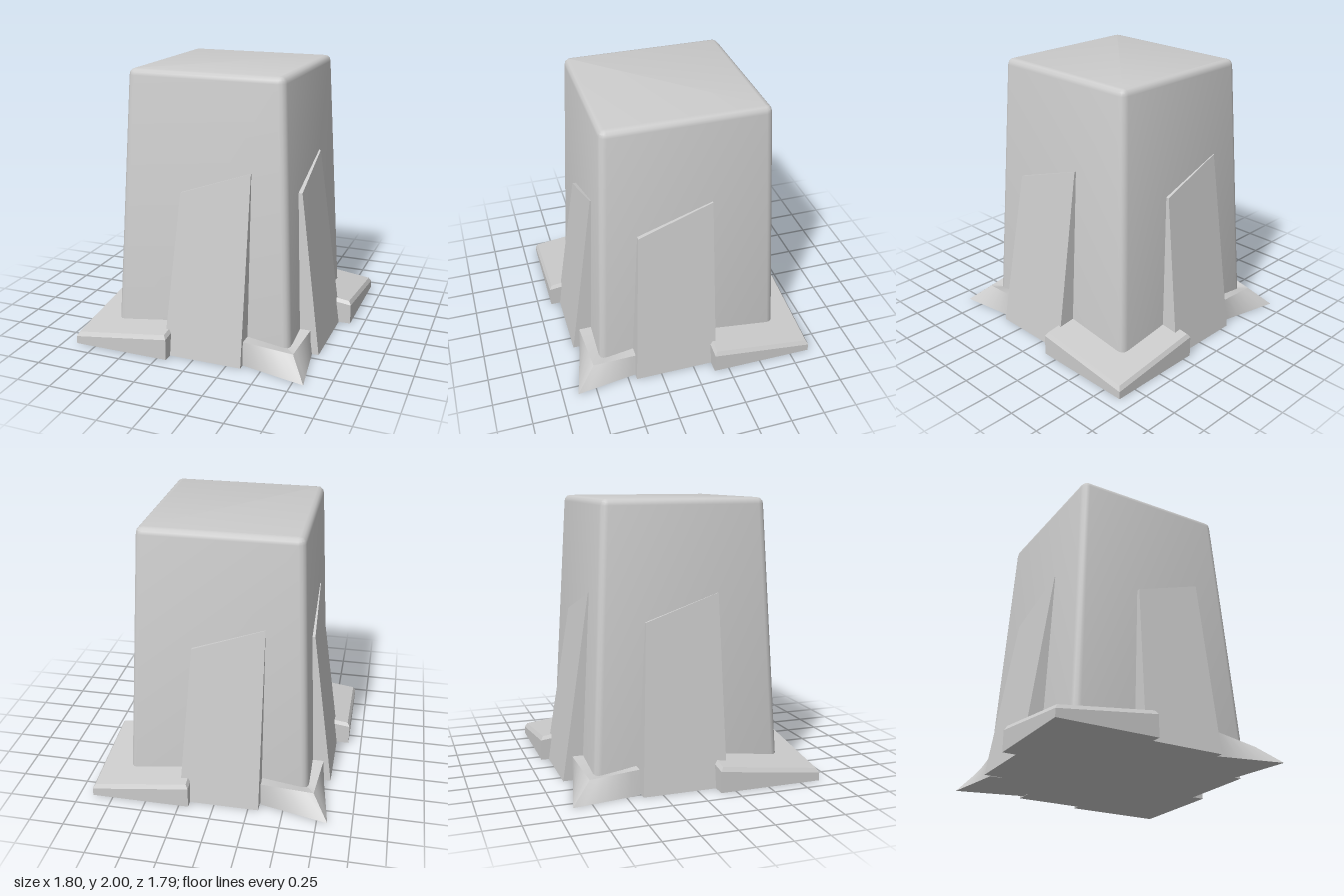
import * as THREE from 'three';
import { toCreasedNormals } from 'three/addons/utils/BufferGeometryUtils.js';

const material = new THREE.MeshStandardMaterial({ color: 0xcccccc });

// Skin a list of equal-length loops, capped at both ends.
// Loops run counter-clockwise as seen from the last one.
function loft(name, loops, crease = 0.6) {
  const pos = [];
  const tri = (a, b, c) => pos.push(...a, ...b, ...c);
  const n = loops[0].length;
  for (let k = 0; k < loops.length - 1; k++) {
    const a = loops[k], b = loops[k + 1];
    for (let i = 0; i < n; i++) {
      const j = (i + 1) % n;
      tri(a[i], a[j], b[j]);
      tri(a[i], b[j], b[i]);
    }
  }
  const first = loops[0], last = loops[loops.length - 1];
  for (let i = 1; i < n - 1; i++) {
    tri(first[0], first[i + 1], first[i]);
    tri(last[0], last[i], last[i + 1]);
  }
  const geo = new THREE.BufferGeometry();
  geo.setAttribute('position', new THREE.Float32BufferAttribute(pos, 3));
  const mesh = new THREE.Mesh(toCreasedNormals(geo, crease), material);
  mesh.name = name;
  return mesh;
}

// Rounded rectangle ring in the ground plane
function ring(y, hx, hz, r) {
  const pts = [];
  for (let c = 0; c < 4; c++) {
    const sx = c === 0 || c === 3 ? 1 : -1, sz = c < 2 ? -1 : 1;
    for (let s = 0; s <= 3; s++) {
      const t = (c + s / 3) * Math.PI / 2;
      pts.push([sx * (hx - r) + r * Math.cos(t), y, sz * (hz - r) - r * Math.sin(t)]);
    }
  }
  return pts;
}

// Tapered tower with a rounded top edge
function tower() {
  const loops = [ring(0, 0.673, 0.695, 0.05)];
  const r = 0.045;
  for (let s = 0; s <= 3; s++) {
    const t = (s / 3) * Math.PI / 2, inset = r * (1 - Math.cos(t));
    loops.push(ring(2 - r + r * Math.sin(t), 0.57 - inset, 0.593 - inset, 0.05 - inset));
  }
  const mesh = loft('tower', loops);
  mesh.position.z = -0.007;
  return mesh;
}

// Leaning buttress with a slanted top, built on the front side
function buttress({ low, high, foot, head, turn }) {
  const mesh = loft('buttress', [
    [[low, 0, foot], [high, 0, foot], [high, 0, 0.45], [low, 0, 0.45]],
    [[low + 0.075, 1.17, head + 0.025], [high, 1.35, head], [high, 1.35, 0.45], [low + 0.075, 1.17, 0.45]],
  ], 0.1);
  mesh.rotation.y = turn * Math.PI / 2;
  return mesh;
}

// Corner slab, lowest at its outer corner, with bevelled upper edges
function cornerSlab() {
  const x0 = -0.9, x1 = -0.18, z0 = 0.14, z1 = 0.897;
  const height = (x, z) => 0.085 + 0.135 * (x - x0) + 0.125 * (z1 - z);
  const loop = (inset, top, drop) => [
    [x0 + inset, z1 - inset], [x1 - inset, z1 - inset],
    [x1 - inset, z0 + inset], [x0 + inset, z0 + inset],
  ].map(([x, z]) => [x, top ? height(x, z) - drop : 0, z]);
  return loft('cornerSlab', [loop(0, false, 0), loop(0, true, 0.028), loop(0.018, true, 0)], 0.1);
}

// Pointed corner spur: its wall leans out to a sharp toe at ground level
function cornerSpur() {
  // inner x,z | outer top x,y,z | outer bottom x,z
  const keys = [
    [0.33, 0.5, 0.33, 0.18, 0.772, 0.33, 0.77],
    [0.5, 0.5, 0.71, 0.135, 0.742, 0.828, 0.887],
    [0.5, 0.4, 0.745, 0.18, 0.4, 0.755, 0.4],
  ];
  const loops = [];
  const steps = 6;
  for (let i = 0; i <= 2 * steps; i++) {
    const k = Math.min(1, Math.floor(i / steps)), t = i / steps - k;
    const [ix, iz, tx, ty, tz, bx, bz] = keys[k].map((v, m) => v + (keys[k + 1][m] - v) * t);
    loops.push([[ix, 0, iz], [ix, ty, iz], [tx, ty, tz], [bx, 0, bz]]);
  }
  return loft('cornerSpur', loops, 0.5);
}

export function createModel() {
  const model = new THREE.Group();
  model.name = 'buttressedTower';
  model.add(tower());

  // One buttress on each side
  [
    { low: -0.23, high: 0.355, foot: 0.825, head: 0.628, turn: 0 },
    { low: -0.44, high: 0.18, foot: 0.81, head: 0.615, turn: 1 },
    { low: -0.26, high: 0.325, foot: 0.84, head: 0.638, turn: 2 },
    { low: -0.39, high: 0.225, foot: 0.805, head: 0.607, turn: -1 },
  ].forEach((b) => model.add(buttress(b)));

  // Slabs and spurs on opposite corners
  for (const make of [cornerSlab, cornerSpur]) {
    const near = make(), far = make();
    far.rotation.y = Math.PI;
    model.add(near, far);
  }
  return model;
}
